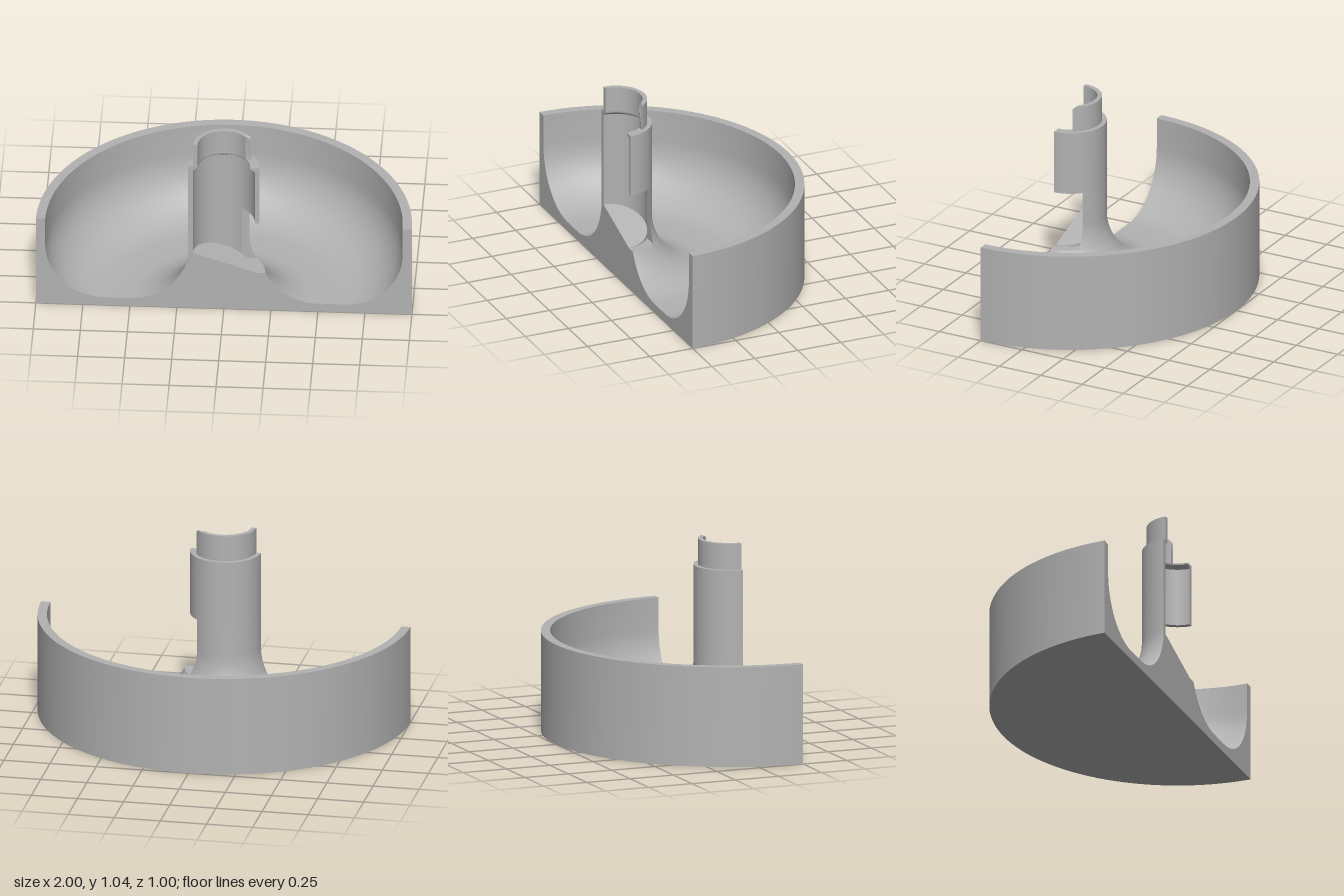
import * as THREE from 'three';
import { toCreasedNormals } from 'three/addons/utils/BufferGeometryUtils.js';

// Half-turn solid from a closed counter-clockwise (radius, height) profile.
// cut(y) trims the +x end back to a plane that far behind the section plane.
function halfTurn(profile, cut = () => 0, segments = 72) {
  const n = profile.length;
  const positions = [];
  const start = (p) => (p.x > 0 ? Math.asin(cut(p.y) / p.x) : 0);
  const point = (j, i) => {
    const p = profile[j % n];
    const a0 = start(p);
    const a = a0 + ((Math.PI - a0) * i) / segments;
    return new THREE.Vector3(p.x * Math.cos(a), p.y, -p.x * Math.sin(a));
  };
  const triangle = (a, b, c) => {
    const area = b.clone().sub(a).cross(c.clone().sub(a)).length();
    if (area > 1e-9) for (const v of [a, b, c]) positions.push(v.x, v.y, v.z);
  };
  // swept skin
  for (let j = 0; j < n; j++) {
    if (profile[j].x === 0 && profile[(j + 1) % n].x === 0) continue;
    for (let i = 0; i < segments; i++) {
      const a = point(j, i), b = point(j, i + 1);
      const c = point(j + 1, i + 1), d = point(j + 1, i);
      triangle(a, b, c);
      triangle(a, c, d);
    }
  }
  // section faces at both ends
  for (const [a, b, c] of THREE.ShapeUtils.triangulateShape(profile.slice(), [])) {
    triangle(point(a, 0), point(b, 0), point(c, 0));
    triangle(point(c, segments), point(b, segments), point(a, segments));
  }
  const geometry = new THREE.BufferGeometry();
  geometry.setAttribute('position', new THREE.Float32BufferAttribute(positions, 3));
  return geometry;
}

const v2 = (x, y) => new THREE.Vector2(x, y);

// Points along an elliptical arc, angles in radians
function arc(cx, cy, rx, ry, from, to, steps) {
  return Array.from({ length: steps + 1 }, (_, i) => {
    const a = from + ((to - from) * i) / steps;
    return v2(cx + rx * Math.cos(a), cy + ry * Math.sin(a));
  });
}

export function createModel() {
  const group = new THREE.Group();
  const grey = new THREE.MeshStandardMaterial({ color: 0xb2b2b2 });
  grey.name = 'plain grey';

  const add = (name, geometry) => {
    const mesh = new THREE.Mesh(toCreasedNormals(geometry, 0.5), grey);
    mesh.name = name;
    mesh.position.z = 0.5;
    group.add(mesh);
  };

  const sill = 0.235, head = 0.55, bore = 0.165, tube = 0.19;
  const sillAngle = Math.PI + Math.asin((0.37 - sill) / 0.32);

  // bowl with rounded trough, solid up to the window sill
  add('bowl', halfTurn([
    v2(0, 0), v2(1, 0), v2(1, 0.54), v2(0.95, 0.54),
    ...arc(0.64, 0.37, 0.31, 0.32, 0, -Math.PI / 2, 16),
    ...arc(0.5, 0.37, 0.31, 0.32, Math.PI * 1.5, sillAngle, 14),
    v2(0, sill),
  ]));

  // flared lower column, open on one side as a window
  add('lowerColumn', halfTurn([
    v2(bore, sill),
    ...arc(0.5, 0.37, 0.31, 0.32, sillAngle, Math.PI, 8),
    v2(tube, head), v2(bore, head),
  ], () => 0.14));

  // closed upper column with an inner chamfer under the lip
  add('upperColumn', halfTurn([
    v2(bore, head), v2(tube, head), v2(tube, 0.9), v2(0.14, 0.9), v2(0.142, 0.892), v2(bore, 0.875),
  ]));

  // thinner top lip, gapped on the window side with a rounded upper corner
  const top = 1.04, round = 0.02;
  const lipCut = (y) => {
    const h = Math.max(0, y - (top - round));
    return 0.085 + round - Math.sqrt(Math.max(0, round * round - h * h));
  };
  const cornerHeights = [0, 0.4, 0.7, 0.9, 1].map((t) => top - round + t * round);
  add('topLip', halfTurn([
    v2(0.14, 0.9), v2(bore, 0.9),
    ...cornerHeights.map((y) => v2(bore, y)),
    ...cornerHeights.slice().reverse().map((y) => v2(0.14, y)),
  ], lipCut));

  // sloping floor inside the column, falling towards the window
  const floor = halfTurn([v2(0, sill), v2(bore, sill), v2(bore, 0.4), v2(0, 0.4)]);
  const pos = floor.attributes.position;
  for (let i = 0; i < pos.count; i++) {
    if (pos.getY(i) > 0.3) pos.setY(i, 0.294 - 0.345 * pos.getX(i));
  }
  add('slopingFloor', floor);

  return group;
}
